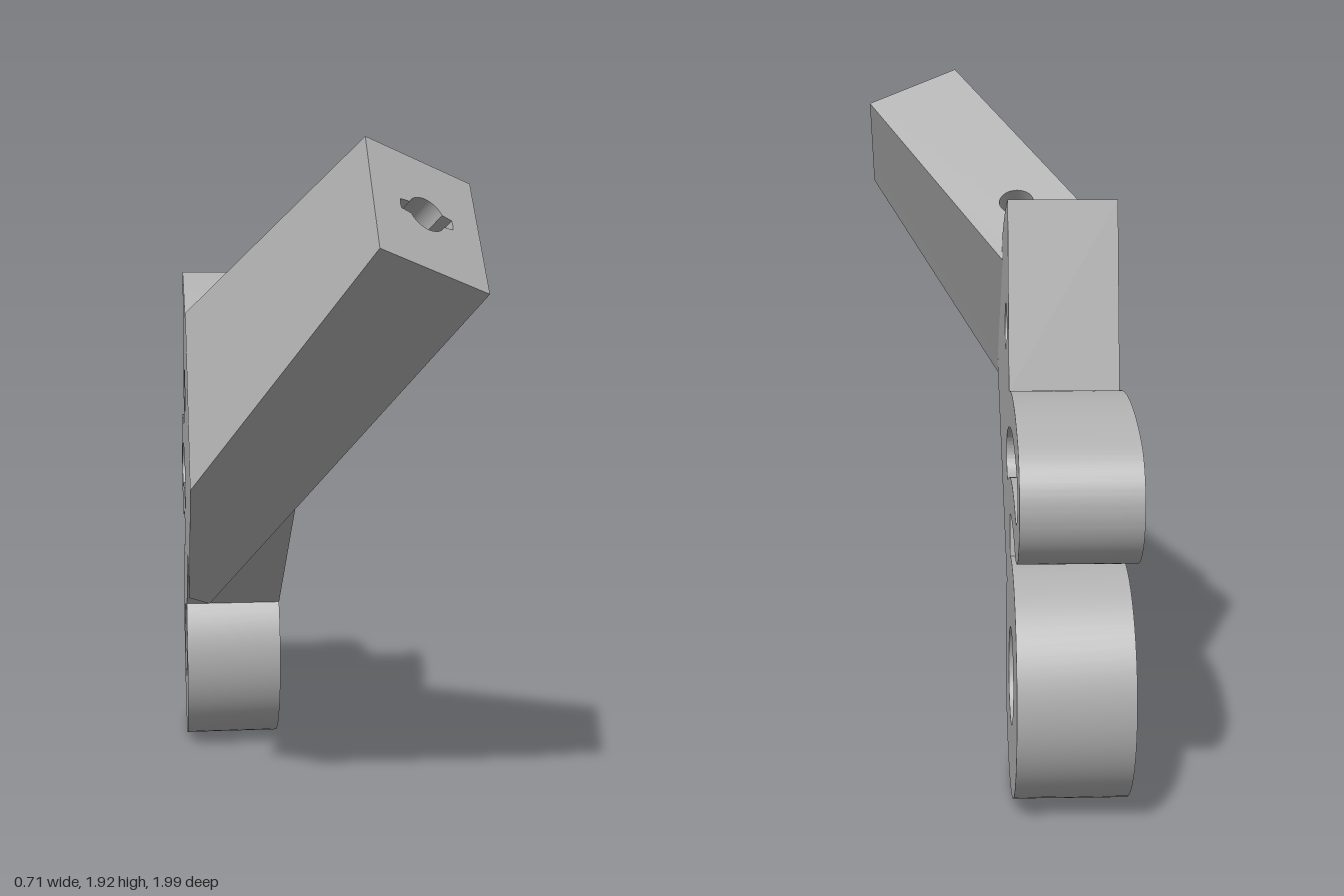
import * as THREE from 'three';
import { toCreasedNormals } from 'three/addons/utils/BufferGeometryUtils.js';

const V = (x, y, z) => new THREE.Vector3(x, y, z);
const rad = THREE.MathUtils.degToRad;

// Polygon in space (counter-clockwise from outside) with an optional blind hole
// hole = { center, outline: [[u, v]...], along, dir, depth }
function addFace(out, corners, hole) {
  const n = V(0, 0, 0);
  corners.forEach((p, i) => {
    const q = corners[(i + 1) % corners.length];
    n.add(p.clone().cross(q));
  });
  n.normalize();
  const along = hole ? hole.along : corners[1].clone().sub(corners[0]);
  const u = along.clone().addScaledVector(n, -along.dot(n)).normalize();
  const v = n.clone().cross(u);
  const flat = (p) => new THREE.Vector2(p.dot(u), p.dot(v));

  const loop = [];
  if (hole) {
    const c = hole.center.clone();
    c.addScaledVector(n, corners[0].clone().sub(c).dot(n));
    hole.outline.forEach(([a, b]) => loop.push(c.clone().addScaledVector(u, a).addScaledVector(v, b)));
  }
  const all = [...corners, ...loop];
  const tris = THREE.ShapeUtils.triangulateShape(corners.map(flat), hole ? [loop.map(flat)] : []);
  tris.forEach((t) => t.forEach((i) => out.push(all[i])));

  // Hole walls and floor
  if (hole) {
    const shift = hole.dir.clone().normalize().multiplyScalar(hole.depth);
    const deep = loop.map((p) => p.clone().add(shift));
    loop.forEach((p, i) => {
      const j = (i + 1) % loop.length;
      out.push(p, loop[j], deep[i], loop[j], deep[j], deep[i]);
      if (i > 0 && j > 0) out.push(deep[0], deep[i], deep[j]);
    });
  }
}

// Flat plate: ring foot, curved slotted finger and body
function plateGeometry() {
  const cx = 0.605, cy = 0.325;
  const polar = (r, deg) => [cx + r * Math.cos(rad(deg)), cy + r * Math.sin(rad(deg))];
  const s = new THREE.Shape();
  s.moveTo(-0.37, 1.0);
  s.lineTo(...polar(0.32, 145));
  s.absarc(cx, cy, 0.32, rad(145), rad(464), false);
  s.lineTo(...polar(0.435, 103));
  s.absarc(cx, cy, 0.435, rad(103), rad(68), true);
  s.absarc(...polar(0.6, 68), 0.165, rad(248), rad(428), false);
  s.absarc(cx, cy, 0.765, rad(68), rad(103.2), false);
  s.lineTo(0.315, 1.575);
  s.quadraticCurveTo(0.11, 1.53, -0.06, 1.42);
  s.lineTo(-0.04, 1.39);
  s.closePath();

  const ringHole = new THREE.Path().absarc(cx, cy, 0.13, 0, Math.PI * 2, true);
  const pinHole = new THREE.Path().absarc(-(-0.23), 1.215, 0.065, 0, Math.PI * 2, true);
  const slot = new THREE.Path();
  slot.absarc(cx, cy, 0.668, rad(68), rad(113.4), false);
  slot.absarc(...polar(0.6, 113.4), 0.068, rad(113.4), rad(293.4), false);
  slot.absarc(cx, cy, 0.532, rad(113.4), rad(68), true);
  slot.absarc(...polar(0.6, 68), 0.068, rad(248), rad(428), false);
  s.holes.push(ringHole, pinHole, slot);

  const g = new THREE.ExtrudeGeometry(s, { depth: 0.3, bevelEnabled: false, curveSegments: 32 });
  g.rotateY(Math.PI / 2).translate(-0.36, 0, 0);
  return toCreasedNormals(g, 0.45);
}

// Tapered oblique arm running from the plate to the square end face
function armGeometry() {
  const A = V(0.07, 1.93, 0.735), B = V(0.35, 1.82, 0.63);
  const C = V(0.35, 1.555, 0.895), D = V(0.07, 1.665, 1.0);
  const A2 = V(-0.36, 1.47, 0.09), D2 = V(-0.36, 1.03, 0.53);
  const B2 = V(-0.06, 1.375, 0.0), T = V(-0.36, 1.36, -0.05);
  const F = V(-0.30, 0.625, 0.13), G = V(-0.36, 0.649, 0.152);
  const F2 = V(-0.30, 0.875, -0.12), H = V(-0.36, 0.909, -0.108);

  const circle = [], keyed = [];
  for (let i = 0; i < 32; i++) {
    const a = (i / 32) * Math.PI * 2;
    const c = Math.cos(a), s = Math.sin(a);
    circle.push([0.052 * c, 0.052 * s]);
    // round bore with a small notch on either side
    const r = Math.abs(s) < 0.3 ? 0.078 : 0.052;
    keyed.push([r * c, r * s]);
  }
  const across = B.clone().sub(A);
  const out = [];
  addFace(out, [D, C, B, A], {
    center: V(0.21, 1.743, 0.815), outline: keyed, along: across,
    dir: V(-0.42, -0.54, -0.55), depth: 0.42,
  });
  addFace(out, [A2, A, B, B2, T], {
    center: V(-0.11, 1.53, 0.2), outline: circle, along: across,
    dir: V(-0.08, -0.785, 0.61), depth: 0.22,
  });
  addFace(out, [A, A2, D2, D]);
  addFace(out, [D, D2, G, F, C]);
  addFace(out, [B, C, F, F2, B2]);
  addFace(out, [A2, T, H, G, D2]);
  addFace(out, [G, H, F2, F]);
  const g = new THREE.BufferGeometry().setFromPoints(out);
  return toCreasedNormals(g, 0.3);
}

export function createModel() {
  const grey = new THREE.MeshStandardMaterial({ color: 0xb0b0b0 });
  grey.name = 'plain grey';
  const group = new THREE.Group();
  group.name = 'bracket';
  const add = (name, geometry) => {
    const mesh = new THREE.Mesh(geometry, grey);
    mesh.name = name;
    group.add(mesh);
  };
  add('slottedPlate', plateGeometry());
  add('angledArm', armGeometry());
  return group;
}
